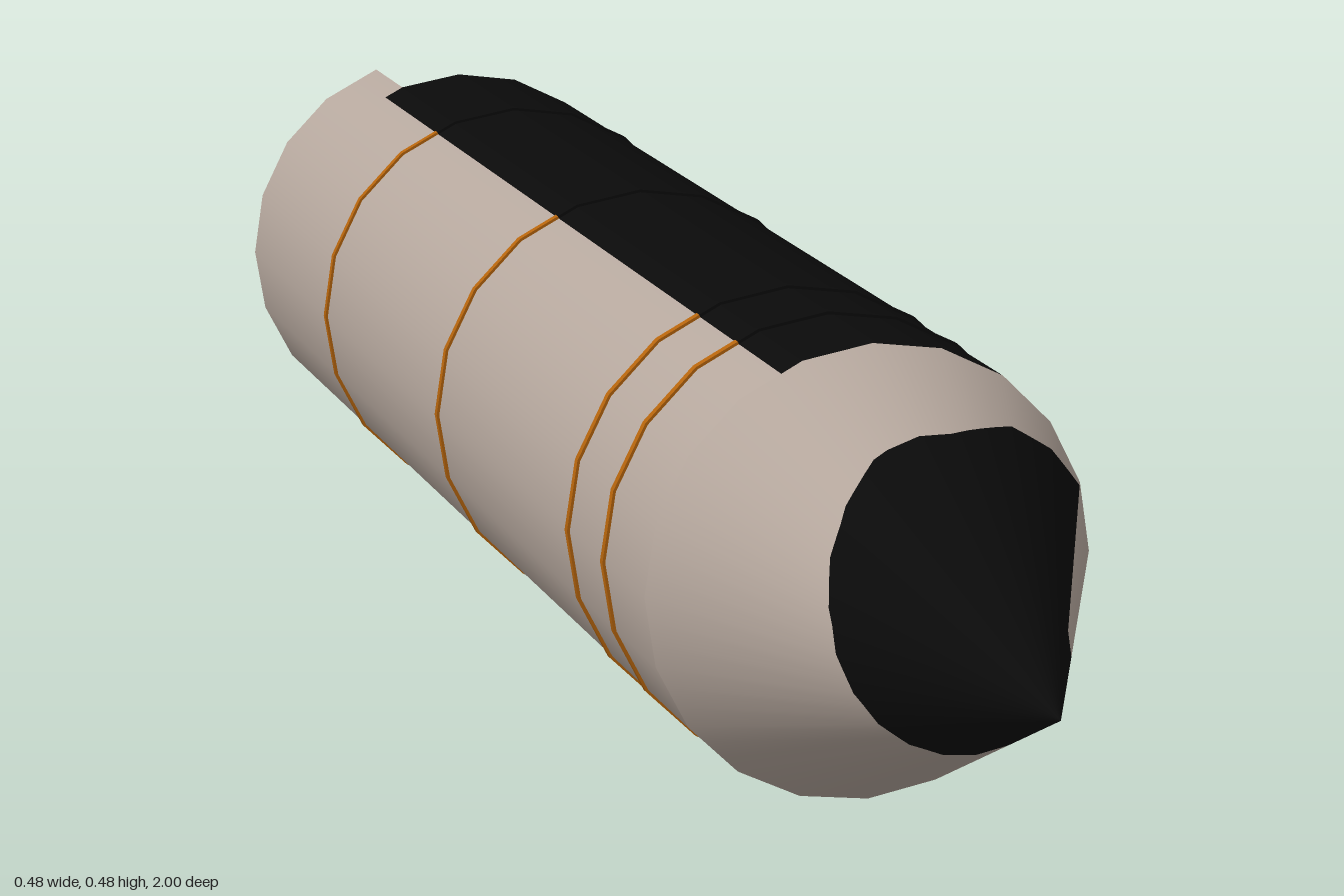
import * as THREE from 'three';

const CENTER_Y = 0.24, R = 0.2355, R_BAND = 0.2385, R_INNER = 0.21;
const NOSE = 1, SHOULDER = 0.53, BULKHEAD = -0.88, TAIL = -1;
const STEP = 6, FACET = 18;
const PANEL_START = 18, PANEL_END = 114;

const mat = (name, color) => {
  const m = new THREE.MeshStandardMaterial({ color, side: THREE.DoubleSide });
  m.name = name;
  return m;
};

// radius factor of a 20-sided outline at a given angle in degrees
function facetFactor(deg) {
  const half = FACET / 2;
  const local = ((deg % FACET) + FACET) % FACET - half;
  const rad = THREE.MathUtils.degToRad;
  return Math.cos(rad(half)) / Math.cos(rad(local));
}

function around(deg, r) {
  const t = THREE.MathUtils.degToRad(deg), k = r * facetFactor(deg);
  return [Math.cos(t) * k, Math.sin(t) * k];
}

// surface swept around the z axis between two profile points; a and b map an angle to [radius, z]
function sweep(start, end, a, b) {
  const pos = [], nor = [], idx = [];
  const n = Math.round((end - start) / STEP);
  for (let i = 0; i <= n; i++) {
    const deg = start + i * STEP, t = THREE.MathUtils.degToRad(deg);
    const pa = a(deg), pb = b(deg);
    const dr = pb[0] - pa[0], dz = pb[1] - pa[1], len = Math.hypot(dr, dz) || 1;
    for (const [r, z] of [pa, pb]) {
      pos.push(...around(deg, r), z);
      nor.push(Math.cos(t) * -dz / len, Math.sin(t) * -dz / len, dr / len);
    }
    if (i < n) {
      const k = i * 2;
      idx.push(k, k + 1, k + 2, k + 2, k + 1, k + 3);
    }
  }
  const g = new THREE.BufferGeometry();
  g.setAttribute('position', new THREE.Float32BufferAttribute(pos, 3));
  g.setAttribute('normal', new THREE.Float32BufferAttribute(nor, 3));
  g.setIndex(idx);
  return g;
}

// flat polygon facing backwards, with corners at the given angles
function backPlate(angles) {
  const pts = angles.map((d) => {
    const [x, y] = around(d, R);
    return new THREE.Vector2(-x, y);
  });
  return new THREE.ShapeGeometry(new THREE.Shape(pts)).rotateY(Math.PI).translate(0, 0, BULKHEAD);
}

const range = (from, to) => {
  const out = [];
  for (let d = from; d <= to; d += STEP) out.push(d);
  return out;
};

export function createModel() {
  const model = new THREE.Group();
  model.name = 'capsuleBody';
  const hull = mat('warm grey', 0xb5a79d);
  const black = mat('black', 0x0a0a0a);
  const orange = mat('orange', 0xb5640c);

  const add = (name, geometry, material) => {
    const m = new THREE.Mesh(geometry, material);
    m.name = name;
    m.position.y = CENTER_Y;
    model.add(m);
    return m;
  };
  const at = (r, z) => () => [r, z];

  // nose cone, its black tip bounded by a spiral line
  const spiral = [[18, 0.232], [36, 0.212], [54, 0.198], [74, 0.178], [104, 0.17], [132, 0.149],
    [166, 0.128], [202, 0.114], [241, 0.103], [270, 0.097], [306, 0.086], [346, 0.082], [378, 0.083]];
  const onSpiral = (deg) => {
    let i = 1;
    while (i < spiral.length - 1 && spiral[i][0] < deg) i++;
    const [d0, r0] = spiral[i - 1], [d1, r1] = spiral[i];
    const r = r0 + (r1 - r0) * (deg - d0) / (d1 - d0);
    return [r, NOSE - (NOSE - SHOULDER) * r / R];
  };
  add('noseTip', sweep(18, 378, at(0, NOSE), onSpiral), black);
  add('noseCone', sweep(18, 378, onSpiral, at(R, SHOULDER)), hull);

  // main barrel with a black panel along its upper side
  add('barrel', sweep(PANEL_END, PANEL_START + 360, at(R, SHOULDER), at(R, BULKHEAD)), hull);
  add('barrelPanel', sweep(PANEL_START, PANEL_END, at(R, SHOULDER), at(R, BULKHEAD)), black);

  // raised seam bands
  for (const z of [0.405, 0.29, -0.18, -0.652]) {
    const w = 0.004;
    const profile = [[R, z + w], [R_BAND, z + w], [R_BAND, z - w], [R, z - w]];
    for (let i = 0; i < 3; i++) {
      const a = at(...profile[i]), b = at(...profile[i + 1]);
      add('seamBand', sweep(PANEL_END, PANEL_START + 360, a, b), orange);
      add('seamBandOnPanel', sweep(PANEL_START, PANEL_END, a, b), black);
    }
  }

  // rear bulkhead with two dark segments
  add('bulkhead', backPlate([...range(-54, 66), ...range(150, 210)]), hull);
  add('bulkheadUpperMark', backPlate(range(66, 150)), black);
  add('bulkheadLowerMark', backPlate(range(210, 306)), black);

  // open tail skirt
  add('skirtOuter', sweep(108, 360, at(R, BULKHEAD), at(R, TAIL)), hull);
  add('skirtRim', sweep(108, 360, at(R, TAIL), at(R_INNER, TAIL)), orange);
  add('skirtInner', sweep(108, 360, at(R_INNER, TAIL), at(R_INNER, BULKHEAD)), hull);
  for (const deg of [108, 360]) {
    const g = new THREE.PlaneGeometry(R - R_INNER, BULKHEAD - TAIL)
      .rotateX(-Math.PI / 2)
      .translate((R + R_INNER) / 2, 0, (BULKHEAD + TAIL) / 2);
    if (deg === 108) g.rotateX(Math.PI).translate(0, 0, BULKHEAD + TAIL);
    add('skirtEnd', g.rotateZ(THREE.MathUtils.degToRad(deg)), orange);
  }
  return model;
}
